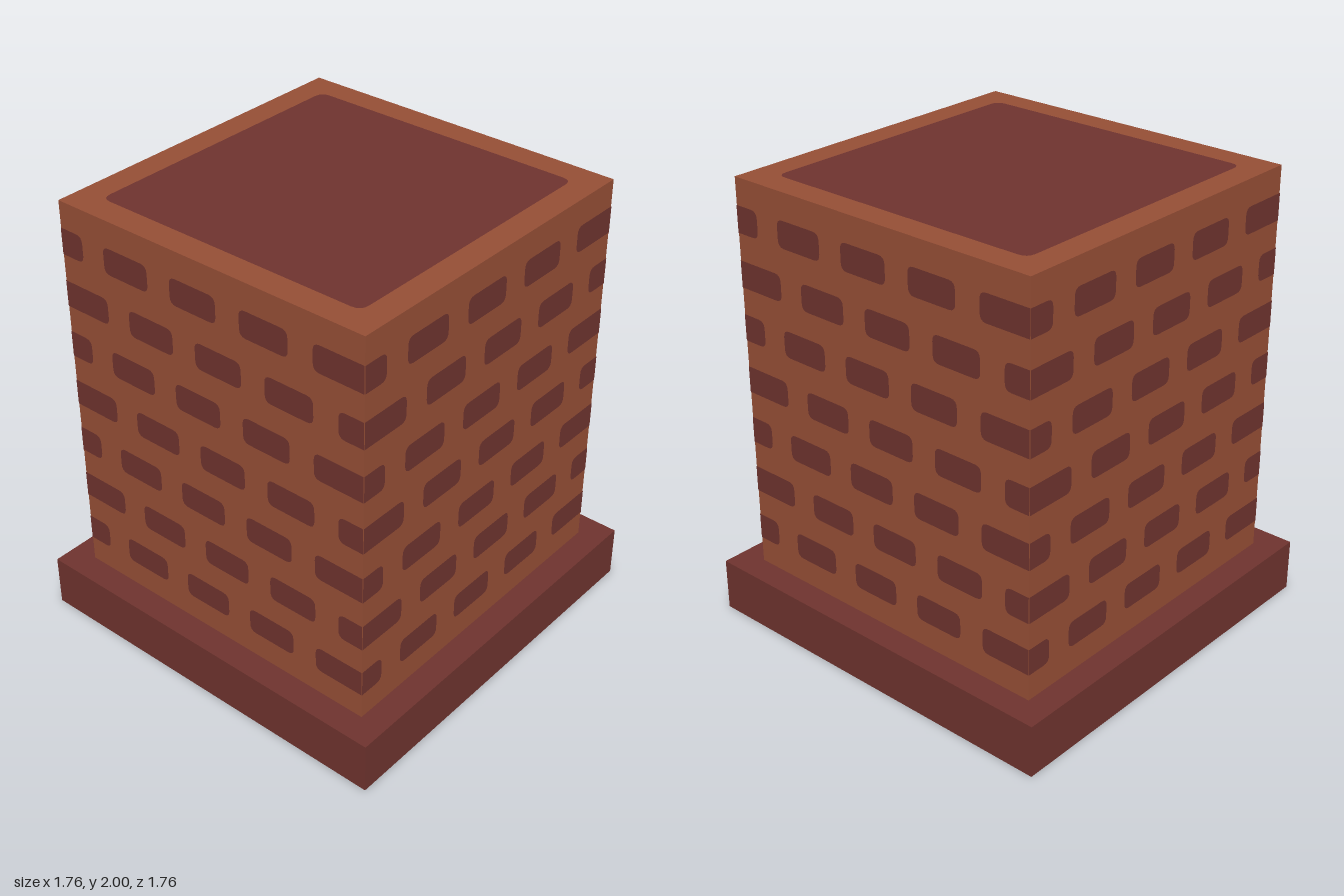
import * as THREE from 'three';

const U = 2 / 17;      // brick module: one brick is 2 x 1 modules
const LIFT = 0.002;    // painted plates sit just off the surface

// Rectangle with separately rounded left and right ends
function plate(x0, x1, y0, y1, rl, rr) {
  const s = new THREE.Shape();
  s.moveTo(x0 + rl, y0);
  s.lineTo(x1 - rr, y0);
  if (rr) s.quadraticCurveTo(x1, y0, x1, y0 + rr);
  s.lineTo(x1, y1 - rr);
  if (rr) s.quadraticCurveTo(x1, y1, x1 - rr, y1);
  s.lineTo(x0 + rl, y1);
  if (rl) s.quadraticCurveTo(x0, y1, x0, y1 - rl);
  s.lineTo(x0, y0 + rl);
  if (rl) s.quadraticCurveTo(x0, y0, x0 + rl, y0);
  return new THREE.ShapeGeometry(s, 4);
}

export function createModel() {
  const group = new THREE.Group();
  group.name = 'brickChimney';
  const brick = new THREE.MeshStandardMaterial({ color: 0x954e35 });
  brick.name = 'brick orange';
  const dark = new THREE.MeshStandardMaterial({ color: 0x6e332e });
  dark.name = 'dark red';

  const add = (name, geometry, material, parent = group) => {
    const mesh = new THREE.Mesh(geometry, material);
    mesh.name = name;
    parent.add(mesh);
    return mesh;
  };

  // Plinth and stack
  add('base', new THREE.BoxGeometry(15 * U, 2 * U, 15 * U), dark).position.y = U;
  add('stack', new THREE.BoxGeometry(13 * U, 15 * U, 13 * U), brick).position.y = 9.5 * U;

  // Dark panel on the top
  const top = add('topPanel', plate(-5.5 * U, 5.5 * U, -5.5 * U, 5.5 * U, 0.045, 0.045), dark);
  top.rotation.x = -Math.PI / 2;
  top.position.y = 2 + LIFT / 2;

  // Staggered dark bricks, the same on all four walls
  const half = 6.5, r = 0.032;
  ['front', 'left', 'back', 'right'].forEach((side, i) => {
    const wall = new THREE.Group();
    wall.name = side + 'WallBricks';
    wall.rotation.y = i * Math.PI / 2;
    group.add(wall);
    for (let row = 0; row < 7; row++) {
      const y = (3 + 2 * row) * U;
      const start = row % 2 ? -6.5 : -7.5;
      for (let x = start; x < half; x += 3) {
        const a = Math.max(x, -half), b = Math.min(x + 2, half);
        // Ends that meet a wall corner stay square
        const g = plate(a * U, b * U, y, y + U, a > -half ? r : 0, b < half ? r : 0);
        add('darkBrick', g, dark, wall).position.z = half * U + LIFT;
      }
    }
  });
  return group;
}
